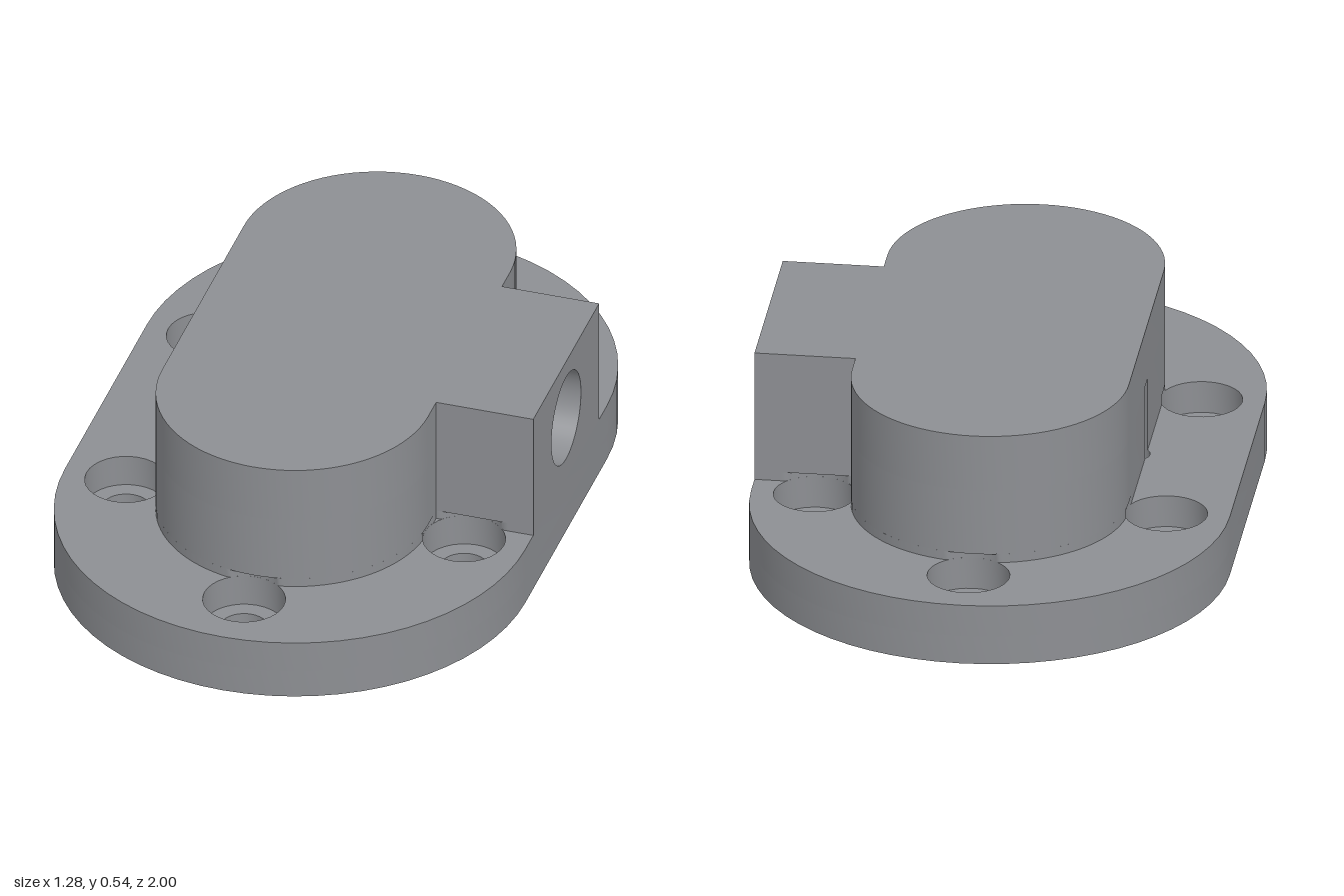
import * as THREE from 'three';
import { toCreasedNormals } from 'three/addons/utils/BufferGeometryUtils.js';

const ZC = 0.36;                       // centres of the rounded ends
const SCREWS = [[0, 0.81], [0, -0.81], [0.47, ZC], [0.47, -ZC], [-0.47, ZC], [-0.47, -ZC]];
const HEAD_R = 0.11, HOLE_R = 0.065, POCKET_R = 0.145;
const PIN_X = 0.34, PIN_R = 0.04;

// Rounded-end outline; the optional notch is the pin bore breaking through the -x side
function stadium(r, notch = false) {
  const s = new THREE.Shape();
  s.moveTo(r, -ZC);
  s.lineTo(r, ZC);
  s.absarc(0, ZC, r, 0, Math.PI, false);
  if (notch) {
    const a = Math.acos((r - PIN_X) / PIN_R);
    s.absarc(-PIN_X, 0, PIN_R, Math.PI - a, -Math.PI + a, true);
  }
  s.lineTo(-r, -ZC);
  s.absarc(0, -ZC, r, Math.PI, Math.PI * 2, false);
  return s;
}

function block(x0, x1, y0, y1) {
  return new THREE.Shape([[x0, y0], [x1, y0], [x1, y1], [x0, y1]].map(p => new THREE.Vector2(...p)));
}

// Push outline points out of the screw-head clearances
function carve(shape) {
  const pts = shape.getPoints(24), out = [];
  pts.forEach((p, i) => {
    const q = pts[(i + 1) % pts.length];
    const n = Math.max(1, Math.ceil(p.distanceTo(q) / 0.012));
    for (let k = 0; k < n; k++) {
      const v = p.clone().lerp(q, k / n);
      for (const [x, y] of SCREWS) {
        const c = new THREE.Vector2(x, y), d = v.clone().sub(c);
        if (d.length() < HEAD_R) v.copy(c).add(d.setLength(HEAD_R));
      }
      if (p.distanceTo(q) > 1e-6) out.push(v);
    }
  });
  return new THREE.Shape(out);
}

function drill(shape, centres, r) {
  for (const [x, y] of centres) {
    shape.holes.push(new THREE.Path().absarc(x, y, r, 0, Math.PI * 2, true));
  }
  return shape;
}

function extrude(shape, depth, segments = 20) {
  return new THREE.ExtrudeGeometry(shape, { depth, bevelEnabled: false, curveSegments: segments });
}

export function createModel() {
  const model = new THREE.Group();
  const metal = new THREE.MeshStandardMaterial({ color: 0x8d8f93 });
  metal.name = 'grey metal';

  function add(name, geo) {
    const mesh = new THREE.Mesh(toCreasedNormals(geo, 0.6), metal);
    mesh.name = name;
    model.add(mesh);
  }
  // Horizontal slab between two heights
  function slab(name, shape, y0, y1, segments) {
    add(name, extrude(shape, y1 - y0, segments).rotateX(-Math.PI / 2).translate(0, y0, 0));
  }

  const pockets = [[0, ZC], [0, -ZC]];
  const pins = [[PIN_X, 0], [-PIN_X, 0]];

  // Flange: screw holes below, wider counterbores above
  for (const [name, r, y0, y1] of [['flangeBase', HOLE_R, 0, 0.08], ['flangeTop', HEAD_R, 0.08, 0.17]]) {
    const s = stadium(0.64);
    drill(s, SCREWS, r);
    drill(s, pockets, POCKET_R);
    drill(s, pins, PIN_R);
    slab(name, s, y0, y1, 16);
  }

  // Raised housing with two blind shaft pockets
  slab('housingFoot', drill(carve(stadium(0.37, true)), pockets, POCKET_R), 0.17, 0.195);
  slab('housingWall', drill(stadium(0.37, true), pockets, POCKET_R), 0.195, 0.38);
  slab('housingCap', stadium(0.37), 0.38, 0.54);

  // Side port block with a round blind bore facing +x
  slab('portBlockFoot', carve(block(0.37, 0.64, -0.29, 0.29)), 0.17, 0.195);
  const port = drill(block(-0.29, 0.29, 0.195, 0.54), [[0, 0.36]], 0.13);
  add('portBlock', extrude(port, 0.27).rotateY(Math.PI / 2).translate(0.37, 0, 0));

  return model;
}
